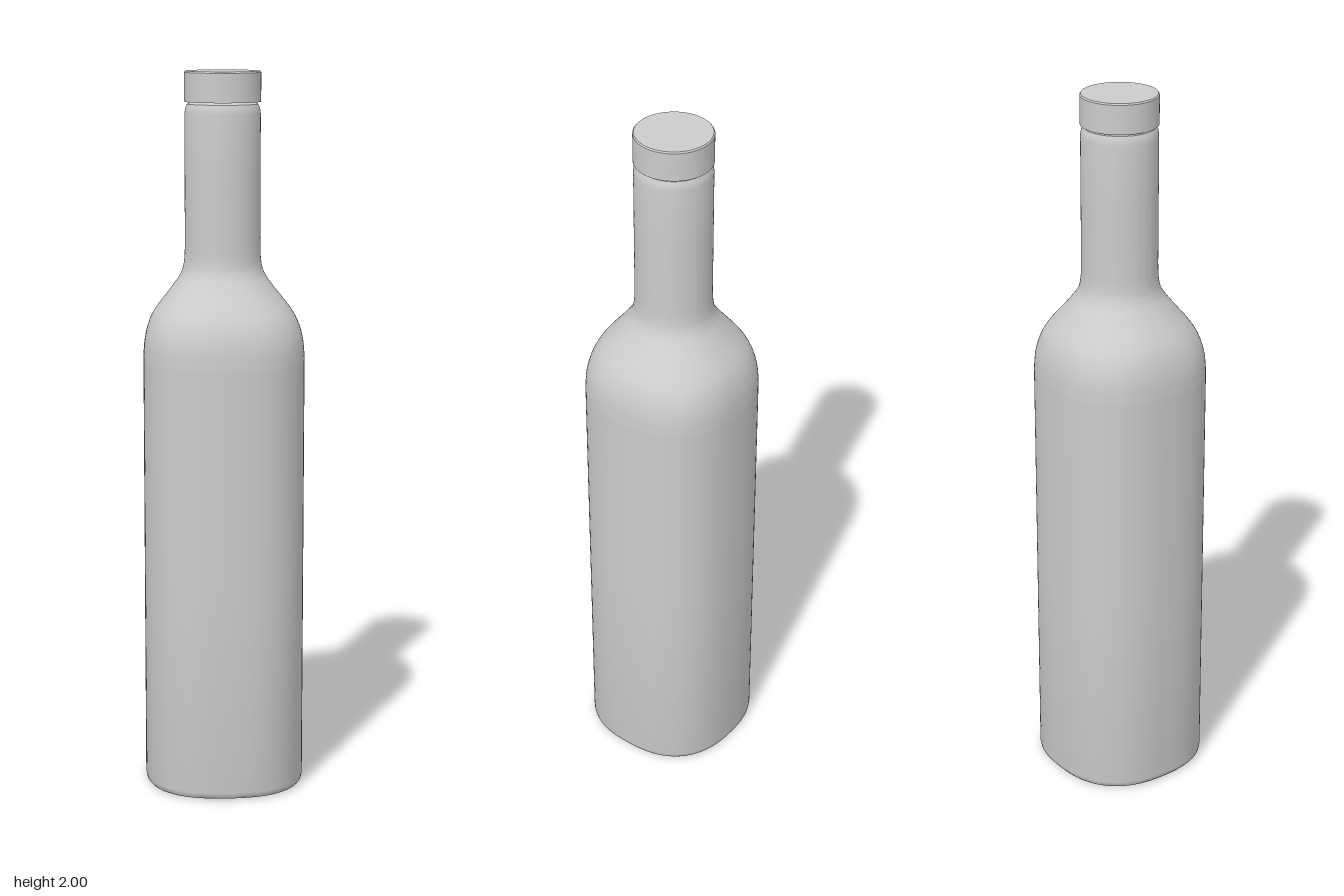
import * as THREE from 'three';
import { toCreasedNormals } from 'three/addons/utils/BufferGeometryUtils.js';

const material = new THREE.MeshStandardMaterial({ color: 0xcccccc });
const OFFSET = -0.003; // the neck sits very slightly off the body axis

// Lathe whose section is a rounded square low down and a circle at the neck
function turnedPart(name, profile) {
  const geometry = new THREE.LatheGeometry(profile, 96);
  const p = geometry.attributes.position;
  for (let i = 0; i < p.count; i++) {
    const x = p.getX(i), y = p.getY(i), z = p.getZ(i);
    const r = Math.hypot(x, z);
    const t = THREE.MathUtils.smoothstep(y, 1.25, 1.48);
    const n = THREE.MathUtils.lerp(2.45, 2, t);
    const k = r < 1e-6 ? 1 : 1 / Math.pow(Math.pow(Math.abs(x) / r, n) + Math.pow(Math.abs(z) / r, n), 1 / n);
    p.setXYZ(i, x * k + OFFSET * t, y, z * k + OFFSET * t);
  }
  const mesh = new THREE.Mesh(toCreasedNormals(geometry, 0.6), material);
  mesh.name = name;
  return mesh;
}

const points = (list) => list.map(([r, y]) => new THREE.Vector2(r, y));

export function createModel() {
  const group = new THREE.Group();
  group.name = 'bottle';

  // Shallow hollow in the base, rounded foot and straight wall
  const base = points([
    [0, 0.012], [0.125, 0.012], [0.145, 0.004], [0.16, 0], [0.206, 0],
    [0.216, 0.003], [0.221, 0.009], [0.223, 0.02], [0.223, 0.6], [0.223, 1.2],
  ]);

  // Sloping shoulder flowing into the neck
  const shoulder = new THREE.SplineCurve(points([
    [0.223, 1.22], [0.219, 1.265], [0.208, 1.31], [0.188, 1.35],
    [0.142, 1.41], [0.115, 1.45], [0.106, 1.485], [0.104, 1.53],
  ])).getPoints(32);

  // Neck with a rounded lip beneath the cap
  const neck = points([
    [0.104, 1.7], [0.104, 1.885], [0.102, 1.9], [0.097, 1.911], [0.088, 1.916], [0, 1.916],
  ]);
  group.add(turnedPart('bottleBody', [...base, ...shoulder, ...neck]));

  // Flat cap
  group.add(turnedPart('cap', points([
    [0, 1.917], [0.105, 1.917], [0.105, 1.996], [0.102, 2], [0, 2],
  ])));

  return group;
}
